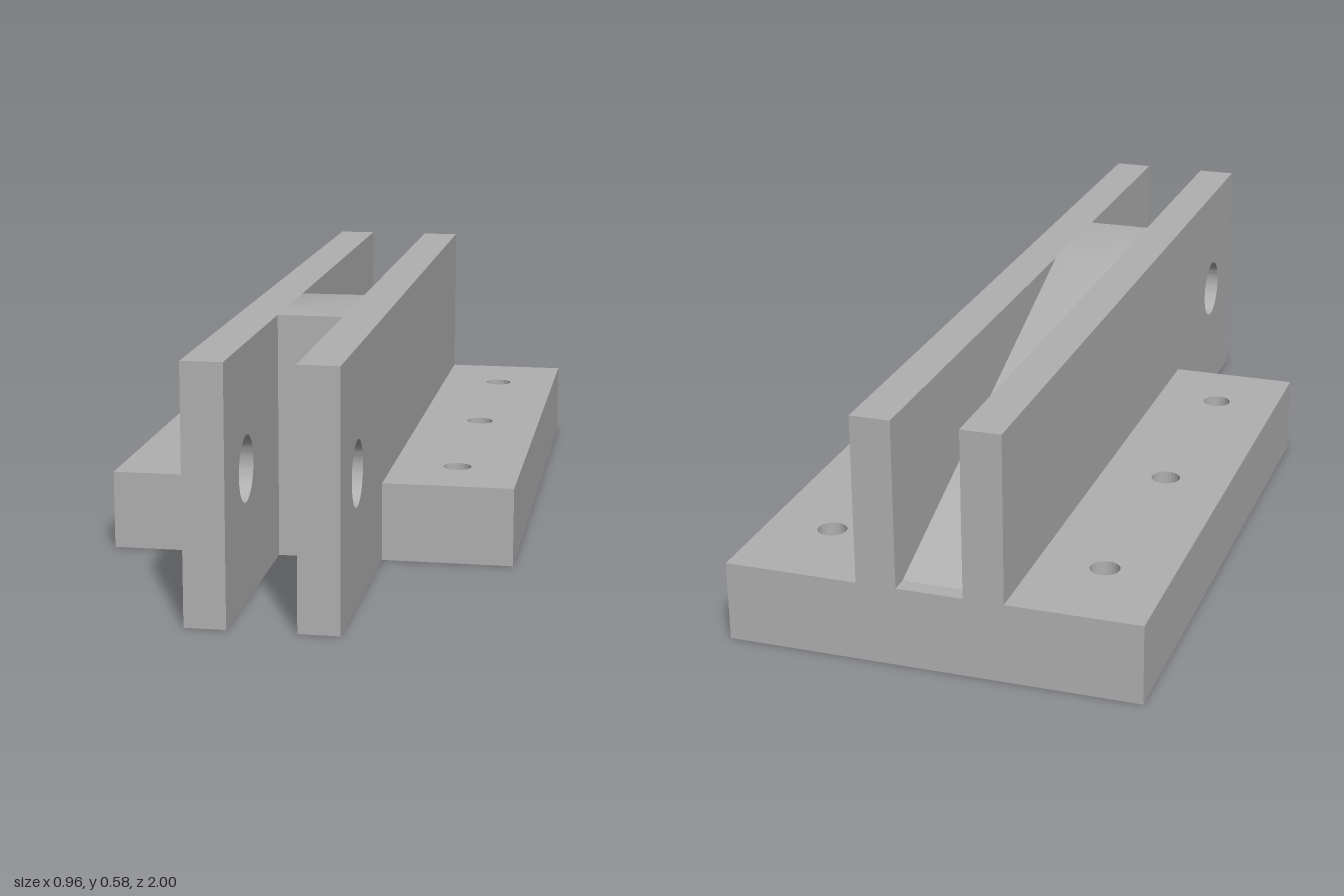
import * as THREE from 'three';
import { toCreasedNormals } from 'three/addons/utils/BufferGeometryUtils.js';

const PLATE_TOP = 0.187, TOP = 0.58, PLATE_FRONT = 0.43;
const SLOT = 0.077, WALL_OUT = 0.17;

// Closed shape from points, with round holes given as [x, y, radius]
function profile(points, holes = []) {
  const shape = new THREE.Shape(points.map(([x, y]) => new THREE.Vector2(x, y)));
  for (const [x, y, r] of holes) {
    shape.holes.push(new THREE.Path().absarc(x, y, r, 0, Math.PI * 2, true));
  }
  return shape;
}

function extrude(shape, depth) {
  const geo = new THREE.ExtrudeGeometry(shape, { depth, bevelEnabled: false, curveSegments: 32 });
  return toCreasedNormals(geo, 0.6);
}

// Side profile drawn in (z, y), extruded across x and centred on it
function sideExtrude(shape, width) {
  return extrude(shape, width).translate(0, 0, -width / 2).rotateY(-Math.PI / 2);
}

export function createModel() {
  const group = new THREE.Group();
  const grey = new THREE.MeshStandardMaterial({ color: 0xb0b0b0 });
  grey.name = 'grey';

  const add = (name, geometry, x = 0) => {
    const mesh = new THREE.Mesh(geometry, grey);
    mesh.name = name;
    mesh.position.x = x;
    group.add(mesh);
  };

  // Base plate with six through holes, drawn in (x, -z)
  const boltHoles = [];
  for (const x of [-0.325, 0.325]) {
    for (const z of [-0.77, -0.265, 0.24]) boltHoles.push([x, -z, 0.034]);
  }
  const plate = profile(
    [[-0.48, -PLATE_FRONT], [0.48, -PLATE_FRONT], [0.48, 1], [-0.48, 1]], boltHoles);
  add('basePlate', extrude(plate, PLATE_TOP).rotateX(-Math.PI / 2));

  // Two long walls: on the plate at the back, full height in front, with a pin hole
  const wall = profile(
    [[-1, PLATE_TOP], [PLATE_FRONT, PLATE_TOP], [PLATE_FRONT, 0], [1, 0], [1, TOP], [-1, TOP]],
    [[0.785, 0.3, 0.075]]);
  const wallGeometry = sideExtrude(wall, WALL_OUT - SLOT);
  const wallX = (WALL_OUT + SLOT) / 2;
  add('leftWall', wallGeometry, wallX);
  add('rightWall', wallGeometry, -wallX);

  // Wedge between the walls, sloping down toward the back
  const wedge = profile(
    [[-0.96, PLATE_TOP], [PLATE_FRONT, PLATE_TOP], [PLATE_FRONT, TOP], [0.12, TOP]]);
  add('slopedWedge', sideExtrude(wedge, SLOT * 2));

  return group;
}
